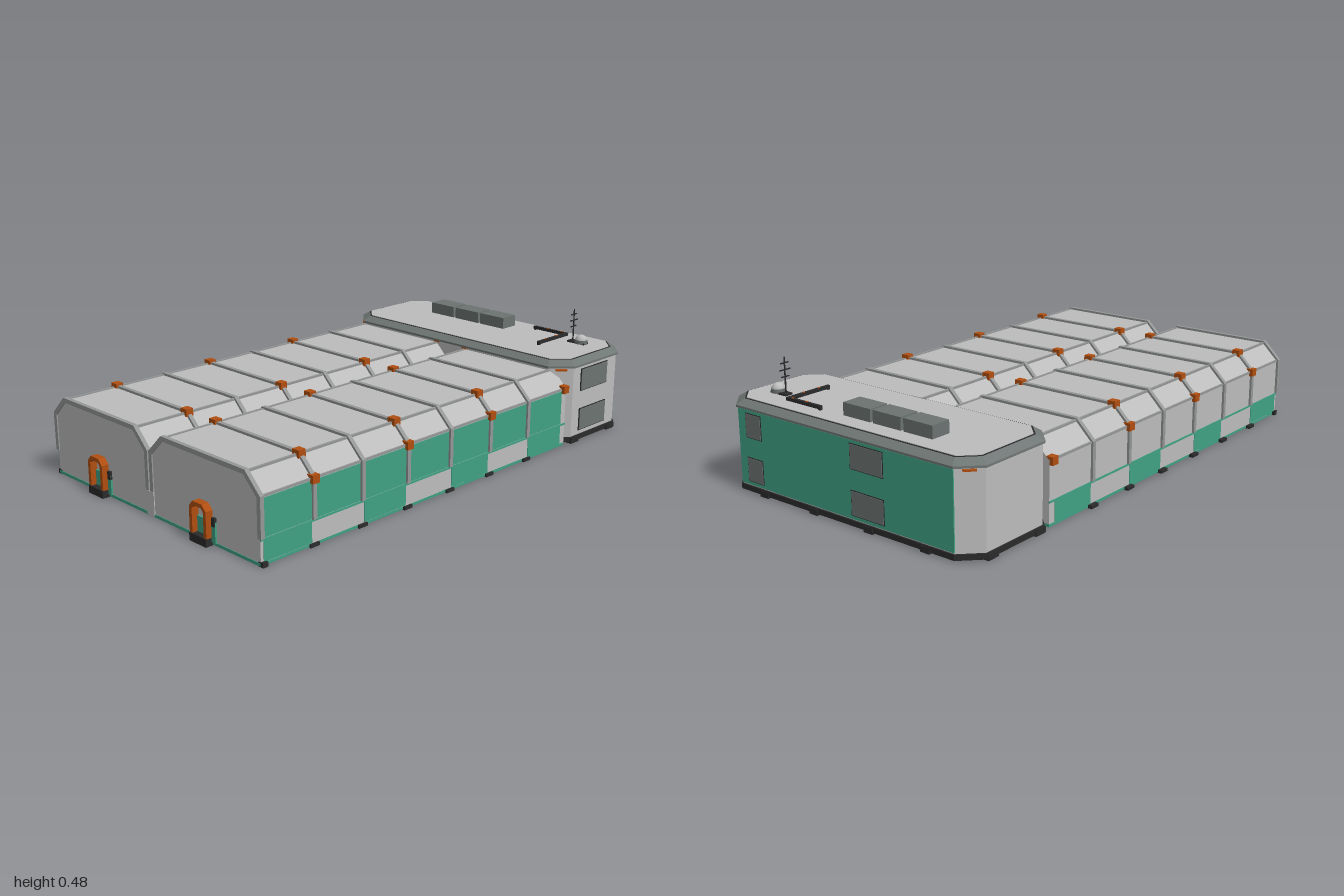
import * as THREE from 'three';

const mat = (name, color) => {
  const m = new THREE.MeshStandardMaterial({ color });
  m.name = name;
  return m;
};

export function createModel() {
  const wall = mat('wall grey', 0xbcbcbc);
  const rib = mat('rib grey', 0x959797);
  const trim = mat('trim grey', 0x6f7775);
  const slate = mat('slate', 0x6b7371);
  const green = mat('green', 0x40a083);
  const bright = mat('bright green', 0x66d2b0);
  const orange = mat('orange', 0xb04e10);
  const dark = mat('dark', 0x2b2b2b);

  const root = new THREE.Group();
  root.name = 'building';

  const add = (name, geo, material, x = 0, y = 0, z = 0, parent = root) => {
    const m = new THREE.Mesh(geo, material);
    m.name = name;
    m.position.set(x, y, z);
    parent.add(m);
    return m;
  };
  // Box given by its minimum and maximum on each axis
  const box = (name, material, x0, x1, y0, y1, z0, z1, parent = root) =>
    add(name, new THREE.BoxGeometry(x1 - x0, y1 - y0, z1 - z0), material,
      (x0 + x1) / 2, (y0 + y1) / 2, (z0 + z1) / 2, parent);
  const shapeOf = (pts) => new THREE.Shape(pts.map(([x, y]) => new THREE.Vector2(x, y)));
  const extrude = (pts, depth) =>
    new THREE.ExtrudeGeometry(shapeOf(pts), { depth, bevelEnabled: false });

  // ---- Two long halls with chamfered roofs ----
  const HALL_X = 0.289, BACK = -0.6, FRONT = 0.965;
  const half = 0.276, ridge = 0.21;
  const arch = (o, foot) => [
    [half + o, foot], [half + o, 0.235 + o * 0.4], [ridge + o * 0.4, 0.3 + o],
    [-ridge - o * 0.4, 0.3 + o], [-half - o, 0.235 + o * 0.4], [-half - o, foot],
  ];
  const ribShape = [...arch(0.009, 0.095), ...arch(-0.008, 0.095).reverse()];
  const ribZ = [-0.36, -0.14, 0.08, 0.3, 0.52, 0.74, 0.962];
  const clampZ = [-0.14, 0.3, 0.74];

  for (const s of [-1, 1]) {
    const hall = new THREE.Group();
    hall.name = s > 0 ? 'leftHall' : 'rightHall';
    hall.position.x = s * HALL_X;
    root.add(hall);
    add('hallShell', extrude(arch(0, 0.012), FRONT - BACK), wall, 0, 0, BACK, hall);
    box('hallFloor', green, -half, half, 0.002, 0.013, BACK, FRONT + 0.002, hall);

    // Arched ribs
    for (const z of ribZ) add('rib', extrude(ribShape, 0.016), rib, 0, 0, z - 0.008, hall);
    // Long rails on the roof edges
    for (const x of [-ridge, ridge]) box('roofRail', rib, x - 0.004, x + 0.004, 0.295, 0.304, BACK, FRONT, hall);
    for (const x of [-half, half]) box('eaveRail', rib, x - 0.003, x + 0.003, 0.231, 0.239, BACK, FRONT, hall);

    // Orange rib clamps
    for (const z of clampZ) {
      for (const x of [-ridge, ridge]) box('roofClamp', orange, x - 0.016, x + 0.016, 0.29, 0.317, z - 0.015, z + 0.015, hall);
      for (const x of [-0.277, 0.277]) box('eaveClamp', orange, x - 0.014, x + 0.014, 0.22, 0.249, z - 0.015, z + 0.015, hall);
    }
    box('rearClamp', orange, s * 0.277 - 0.014, s * 0.277 + 0.014, 0.22, 0.249, -0.6, -0.57, hall);

    // Outer wall: dividing line and painted panels between ribs
    const ox = s * half;
    const plate = (name, y0, y1, z0, z1, t) =>
      box(name, green, ox - t, ox + t, y0, y1, z0, z1, hall);
    plate('wallLine', 0.087, 0.094, BACK, FRONT, 0.003);
    [-0.58, ...ribZ].slice(0, -1).forEach((z, i) => {
      const z0 = z + 0.009, z1 = ribZ[i] - 0.009;
      if (s > 0) plate('upperPanel', 0.096, 0.228, z0, z1, 0.002);
      if (i % 2 === 0) plate('lowerPanel', 0.014, 0.087, z0, z1, 0.002);
    });
    // Feet under the outer edge
    for (const z of [-0.36, -0.14, 0.08, 0.3, 0.52, 0.74])
      box('foot', dark, ox - 0.016, ox + 0.008, 0, 0.012, z - 0.02, z + 0.02, hall);
    box('cornerFoot', dark, ox - 0.01, ox + 0.012, 0, 0.017, 0.945, 0.966, hall);

    // Door: painted panel, orange arched frame, step and control box
    const door = new THREE.Group();
    door.name = 'door';
    door.position.set(0, 0, FRONT);
    hall.add(door);
    box('doorPanel', green, -0.062, 0.062, 0.012, 0.085, 0, 0.007, door);
    const frame = [
      [-0.043, 0.028], [-0.043, 0.122], [-0.024, 0.143], [0.024, 0.143], [0.043, 0.122], [0.043, 0.028],
      [0.029, 0.028], [0.029, 0.118], [0.018, 0.129], [-0.018, 0.129], [-0.029, 0.118], [-0.029, 0.028],
    ];
    add('doorFrame', extrude(frame, 0.028), orange, 0, 0, 0, door);
    box('doorStep', dark, -0.043, 0.043, 0, 0.029, 0, 0.031, door);
    box('controlBox', dark, 0.047, 0.062, 0.07, 0.1, 0, 0.01, door);
  }

  // Low link between the halls, with feet beneath
  box('centreLink', wall, -0.02, 0.02, 0.004, 0.093, BACK, FRONT + 0.003);
  box('centreSeam', bright, -0.01, 0.01, 0.001, 0.006, BACK, FRONT - 0.01);
  for (const z of [-0.36, -0.14, 0.08, 0.3, 0.52, 0.74])
    box('centreFoot', dark, -0.018, 0.018, 0, 0.01, z - 0.015, z + 0.015);

  // ---- Rear block: octagonal plan ----
  const block = new THREE.Group();
  block.name = 'rearBlock';
  root.add(block);
  const CZ = -0.782, HX = 0.573, HZ = 0.216;
  const octagon = (inset, cut = 0.072) => {
    const a = HX - inset, b = HZ - inset, c = cut - inset * 0.5;
    return [[a, -b + c], [a, b - c], [a - c, b], [-a + c, b], [-a, b - c], [-a, -b + c], [-a + c, -b], [a - c, -b]];
  };
  // Closed solid lofted from octagons, each level being [y, inset]
  const loft = (levels) => {
    const pos = [], idx = [];
    for (const [y, inset] of levels) for (const [x, z] of octagon(inset)) pos.push(x, y, z);
    for (let l = 0; l < levels.length - 1; l++)
      for (let i = 0; i < 8; i++) {
        const a = l * 8 + i, b = l * 8 + (i + 1) % 8;
        idx.push(a, a + 8, b, b, a + 8, b + 8);
      }
    const t = (levels.length - 1) * 8;
    for (let i = 1; i < 7; i++) idx.push(0, i, i + 1, t, t + i + 1, t + i);
    const indexed = new THREE.BufferGeometry();
    indexed.setAttribute('position', new THREE.Float32BufferAttribute(pos, 3));
    indexed.setIndex(idx);
    const g = indexed.toNonIndexed();
    g.computeVertexNormals();
    return g;
  };
  add('blockFloor', loft([[0.002, 0.035], [0.013, 0.035]]), green, 0, 0, CZ, block);
  add('blockBase', loft([[0.006, -0.002], [0.026, -0.002]]), dark, 0, 0, CZ, block);
  add('blockWalls', loft([[0.025, 0.004], [0.312, 0.004]]), wall, 0, 0, CZ, block);
  add('roofEdge', loft([[0.309, -0.004], [0.317, -0.004], [0.336, 0.024]]), trim, 0, 0, CZ, block);
  add('roofGutter', loft([[0.33, 0.025], [0.337, 0.025]]), dark, 0, 0, CZ, block);
  add('roofDeck', loft([[0.33, 0.031], [0.339, 0.031]]), wall, 0, 0, CZ, block);

  // Painted rear wall, with windows there and on the left end
  const zb = CZ - HZ;
  box('rearPanel', green, -0.5, 0.5, 0.03, 0.306, zb + 0.001, zb + 0.006, block);
  for (const [y0, y1] of [[0.045, 0.13], [0.208, 0.293]]) {
    for (const [x0, x1] of [[-0.2, -0.055], [0.385, 0.46]]) {
      box('rearWindowFrame', dark, x0 - 0.003, x1 + 0.003, y0 - 0.003, y1 + 0.003, zb, zb + 0.005, block);
      box('rearWindow', slate, x0, x1, y0, y1, zb - 0.002, zb + 0.005, block);
    }
    const x = HX - 0.003;
    box('sideWindowFrame', dark, x - 0.002, x + 0.002, y0 - 0.003, y1 + 0.003, -0.863, -0.687, block);
    box('sideWindow', slate, x - 0.004, x + 0.004, y0, y1, -0.86, -0.69, block);
  }
  // Feet, corner lamps and seam below
  for (const x of [-0.38, -0.13, 0.13, 0.38]) box('rearFoot', dark, x - 0.02, x + 0.02, 0, 0.022, -1.003, -0.965, block);
  for (const s of [-1, 1]) {
    for (const z of [-0.9, -0.66]) box('sideFoot', dark, s * 0.56 - 0.018, s * 0.56 + 0.018, 0, 0.022, z - 0.025, z + 0.025, block);
    for (const z of [CZ - 0.181, CZ + 0.181]) {
      const lamp = box('cornerLamp', orange, -0.022, 0.022, 0.299, 0.305, -0.005, 0.005, block);
      lamp.position.set(s * 0.538, 0.302, z);
      lamp.rotation.y = s * Math.sign(z - CZ) * Math.PI / 4;
    }
    box('valleyLamp', orange, s * 0.075 - 0.012, s * 0.075 + 0.012, 0.303, 0.312, -0.57, -0.563, block);
  }
  box('crossSeam', bright, -0.5, 0.5, 0.001, 0.006, -0.592, -0.574, block);

  // ---- Roof equipment ----
  const gear = new THREE.Group();
  gear.name = 'roofEquipment';
  root.add(gear);
  for (let i = 0; i < 3; i++) {
    const x = -0.33 + i * 0.138;
    box('coolingUnit', slate, x, x + 0.126, 0.337, 0.385, -0.9, -0.82, gear);
  }
  box('pipeAcross', dark, 0.17, 0.339, 0.343, 0.355, -0.915, -0.903, gear);
  box('pipeAlong', dark, 0.327, 0.339, 0.343, 0.355, -0.915, -0.72, gear);
  for (const [x, z] of [[0.24, -0.909], [0.31, -0.909], [0.333, -0.84], [0.333, -0.77]])
    box('pipeClip', orange, x - 0.004, x + 0.004, 0.346, 0.357, z - 0.004, z + 0.004, gear);
  for (const [x, z] of [[0.175, -0.909], [0.333, -0.725]])
    box('pipeEnd', dark, x - 0.005, x + 0.005, 0.337, 0.35, z - 0.005, z + 0.005, gear);

  box('antennaBase', dark, 0.385, 0.465, 0.337, 0.346, -0.877, -0.845, gear);
  add('mast', new THREE.CylinderGeometry(0.0025, 0.003, 0.135, 8), dark, 0.402, 0.409, -0.86, gear);
  [[0.455, 0.018], [0.43, 0.024], [0.405, 0.018]].forEach(([y, w]) =>
    box('mastBar', dark, 0.4, 0.404, y - 0.002, y + 0.002, -0.86 - w, -0.86 + w, gear));
  add('domeCollar', new THREE.CylinderGeometry(0.026, 0.026, 0.015, 16), slate, 0.442, 0.349, -0.86, gear);
  add('dome', new THREE.SphereGeometry(0.024, 16, 8, 0, Math.PI * 2, 0, Math.PI / 2), wall, 0.442, 0.353, -0.86, gear);

  return root;
}
